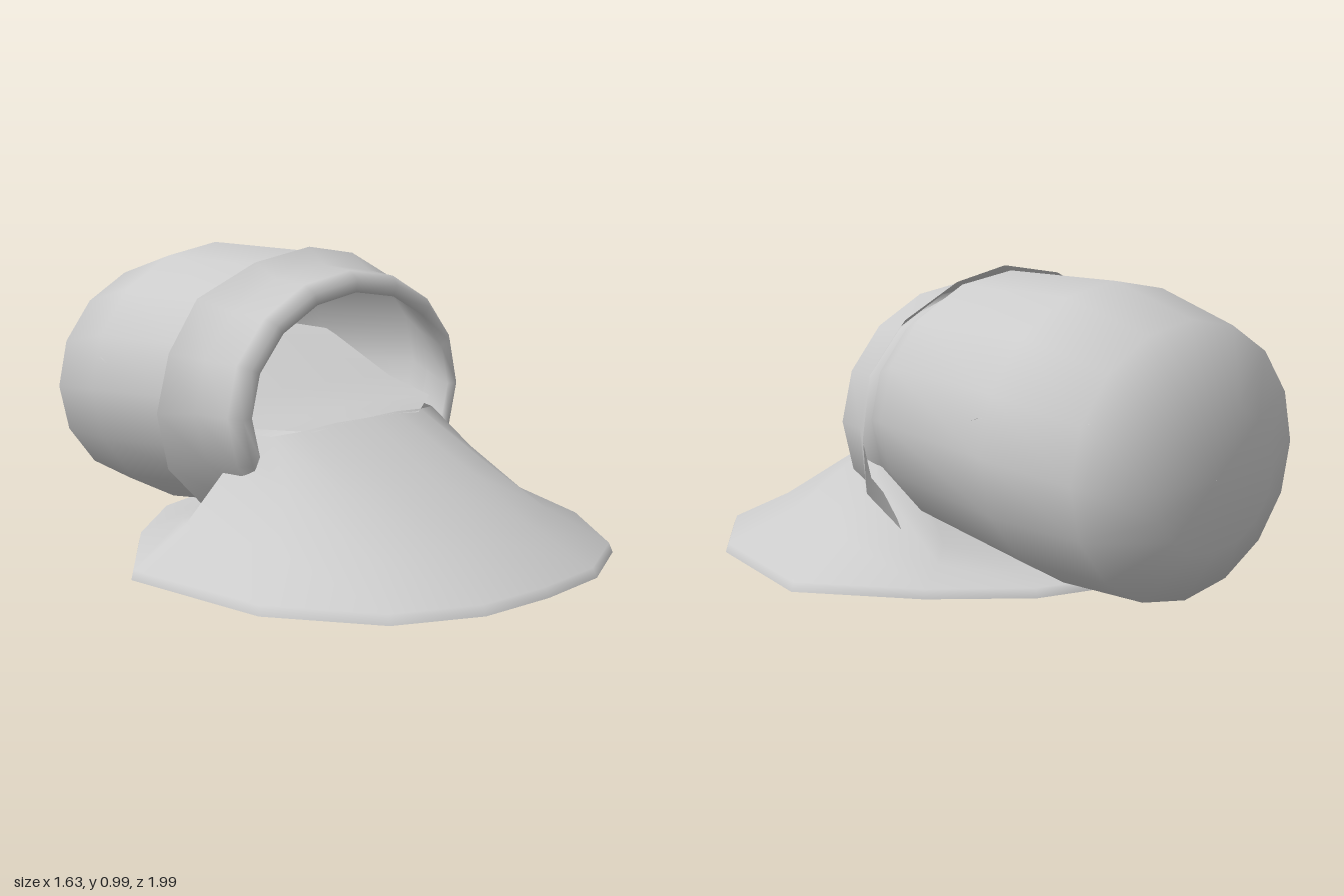
import * as THREE from 'three';

const material = new THREE.MeshStandardMaterial({ color: 0xcccccc, side: THREE.DoubleSide });

// Smooth skin over rows of points; every row has the same count
function loft(name, rows, closed, flip = false) {
  const n = rows[0].length, index = [];
  for (let r = 0; r < rows.length - 1; r++) {
    for (let i = 0; i < (closed ? n : n - 1); i++) {
      const j = (i + 1) % n;
      const a = r * n + i, b = r * n + j, c = a + n, d = b + n;
      if (flip) index.push(a, c, b, b, c, d);
      else index.push(a, b, c, b, d, c);
    }
  }
  const geometry = new THREE.BufferGeometry();
  geometry.setAttribute('position', new THREE.Float32BufferAttribute(rows.flat(2), 3));
  geometry.setIndex(index);
  geometry.computeVertexNormals();
  const mesh = new THREE.Mesh(geometry, material);
  mesh.name = name;
  return mesh;
}

// Sixteen-sided ellipse facing z; zAt can shift each point along the axis
function ring([z, rx, ry, cy], zAt = () => 0) {
  return Array.from({ length: 16 }, (_, i) => {
    const a = (i / 16) * Math.PI * 2;
    const x = rx * Math.sin(a), y = cy + ry * Math.cos(a);
    return [x, y, z + zAt(x, y, i)];
  });
}

// Turns the +x half of an outline into a full loop
function mirrorLoop(half) {
  const other = half.slice(1, -1).reverse().map(([x, y, z]) => [-x, y, z]);
  return [...half, ...other];
}

export function createModel() {
  const model = new THREE.Group();
  model.name = 'tippedJar';

  // Jar body lying on its side: z, half width, half height, centre height
  const body = [
    [-1, 0.001, 0.001, 0.43], [-1, 0.26, 0.22, 0.43], [-0.89, 0.485, 0.425, 0.465],
    [-0.58, 0.55, 0.475, 0.505], [-0.1, 0.545, 0.44, 0.54], [0.02, 0.49, 0.4, 0.52],
  ].map((s) => ring(s));
  model.add(loft('jarBody', body, true, true));

  // Flared lip: its lower front leans back, its rear edge is slightly wavy
  const lean = (x, y) => -0.6 * Math.max(0, 0.32 - y);
  const wave = (x, y, i) => [0.03, -0.01, 0, 0.005, -0.02][i % 5];
  const lip = [
    ring([-0.1, 0.625, 0.495, 0.5], wave),
    ring([0, 0.55, 0.435, 0.505]),
    ring([0.13, 0.525, 0.425, 0.505], lean),
    ring([0.165, 0.49, 0.4, 0.5], lean),
    ring([0.16, 0.45, 0.36, 0.5], lean),
    ring([0.02, 0.49, 0.4, 0.52]),
  ];
  model.add(loft('jarLip', lip, true, true));

  // Spilled mound: outlines [x, y, z] from the foot up to the mouth
  const foot = [[0, 0.99], [0.26, 0.97], [0.52, 0.84], [0.74, 0.53],
    [0.815, 0.01], [0.55, -0.32], [0.28, -0.54], [0, -0.62]];
  const spill = [
    foot.map(([x, z]) => [x, 0.02, z]),
    foot.map(([x, z]) => [x * 0.99, 0.05, z * 0.985]),
    [[0, 0.15, 0.78], [0.2, 0.15, 0.76], [0.41, 0.15, 0.65], [0.56, 0.15, 0.41],
      [0.61, 0.16, 0.02], [0.43, 0.09, -0.24], [0.24, 0.06, -0.42], [0, 0.05, -0.5]],
    [[0, 0.29, 0.55], [0.17, 0.29, 0.53], [0.32, 0.29, 0.45], [0.43, 0.3, 0.29],
      [0.46, 0.32, 0.04], [0.36, 0.13, -0.18], [0.2, 0.09, -0.3], [0, 0.08, -0.36]],
    [[0, 0.45, 0.22], [0.14, 0.45, 0.21], [0.27, 0.44, 0.2], [0.37, 0.43, 0.16],
      [0.42, 0.43, 0.02], [0.33, 0.3, -0.06], [0.18, 0.3, -0.09], [0, 0.3, -0.1]],
  ].map(mirrorLoop);
  model.add(loft('spilledMound', spill, true));

  // Contents still inside, climbing toward the back of the jar
  const contents = [[0.22, 0.45, 0.24], [0.1, 0.47, 0.42], [-0.2, 0.49, 0.52],
    [-0.55, 0.63, 0.53], [-0.9, 0.65, 0.43]]
    .map(([z, y, w]) => [-1, -0.5, 0, 0.5, 1].map((u) => [u * w, y - 0.015 * u * u, z]));
  model.add(loft('contents', contents, false));

  return model;
}
